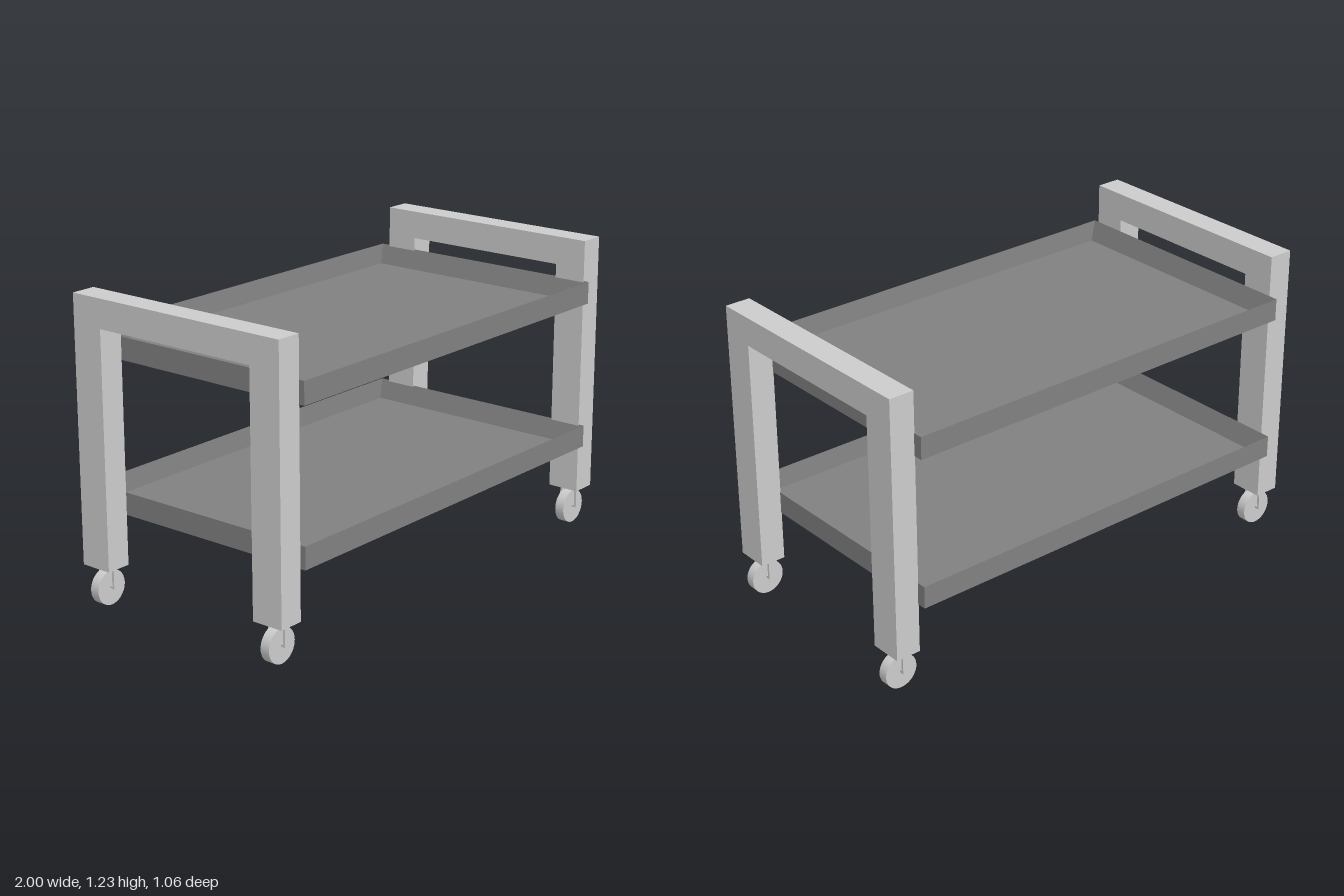
import * as THREE from 'three';

const metal = new THREE.MeshStandardMaterial({ color: 0xcccccc });
const trayMat = new THREE.MeshStandardMaterial({ color: 0x808080 });

function add(parent, name, geometry, material, x = 0, y = 0, z = 0) {
  const mesh = new THREE.Mesh(geometry, material);
  mesh.name = name;
  mesh.position.set(x, y, z);
  parent.add(mesh);
  return mesh;
}

// Tray: upright outer walls, knife-edge rim, inner walls sloping to the floor
function trayGeometry() {
  const rings = [[0.882, 0, 0.528], [0.882, 0.09, 0.528], [0.853, 0.01, 0.515]];
  const corners = rings.map(([x, y, z]) =>
    [[-x, y, z], [x, y, z], [x, y, -z], [-x, y, -z]]);
  const pos = [];
  const quad = (a, b, c, d) => pos.push(...a, ...b, ...c, ...a, ...c, ...d);
  for (let r = 0; r < 2; r++) {
    for (let i = 0; i < 4; i++) {
      const j = (i + 1) % 4;
      quad(corners[r][i], corners[r][j], corners[r + 1][j], corners[r + 1][i]);
    }
  }
  quad(...corners[2]);
  quad(...[...corners[0]].reverse());
  const g = new THREE.BufferGeometry();
  g.setAttribute('position', new THREE.Float32BufferAttribute(pos, 3));
  g.computeVertexNormals();
  return g;
}

// End frame: an upside-down U that forms two legs and the push handle
function frameGeometry(width) {
  const outline = [[-0.49, 0.16], [-0.355, 0.16], [-0.355, 1.11], [0.37, 1.11],
    [0.37, 0.16], [0.505, 0.16], [0.505, 1.225], [-0.49, 1.225]];
  const shape = new THREE.Shape(outline.map(([z, y]) => new THREE.Vector2(z, y)));
  const g = new THREE.ExtrudeGeometry(shape, { depth: width, bevelEnabled: false });
  g.translate(0, 0, -width / 2);
  g.rotateY(-Math.PI / 2);
  return g;
}

// Caster: wheel, axle and a two-pronged fork
function makeCaster(name, x, z) {
  const caster = new THREE.Group();
  caster.name = name;
  caster.position.set(x, 0, z);
  const wheel = new THREE.CylinderGeometry(0.07, 0.07, 0.04, 40).rotateX(Math.PI / 2);
  add(caster, 'wheel', wheel, metal, 0, 0.07, 0);
  add(caster, 'axle', new THREE.BoxGeometry(0.012, 0.01, 0.08), metal, 0, 0.073, 0);
  for (const s of [-1, 1]) {
    add(caster, 'forkProng', new THREE.BoxGeometry(0.012, 0.094, 0.01), metal, 0, 0.115, s * 0.035);
  }
  return caster;
}

export function createModel() {
  const cart = new THREE.Group();
  cart.name = 'serviceCart';

  // Shelves
  const tray = trayGeometry();
  add(cart, 'lowerTray', tray, trayMat, -0.002, 0.362, 0);
  add(cart, 'upperTray', tray, trayMat, -0.002, 0.97, 0);

  // End frames
  const frame = frameGeometry(0.104);
  add(cart, 'leftFrame', frame, metal, 0.93, 0, 0);
  add(cart, 'rightFrame', frame, metal, -0.936, 0, 0);

  // Casters under each leg
  for (const [side, x] of [['left', 0.93], ['right', -0.93]]) {
    cart.add(makeCaster(side + 'FrontCaster', x, 0.435));
    cart.add(makeCaster(side + 'BackCaster', x, -0.423));
  }
  return cart;
}
